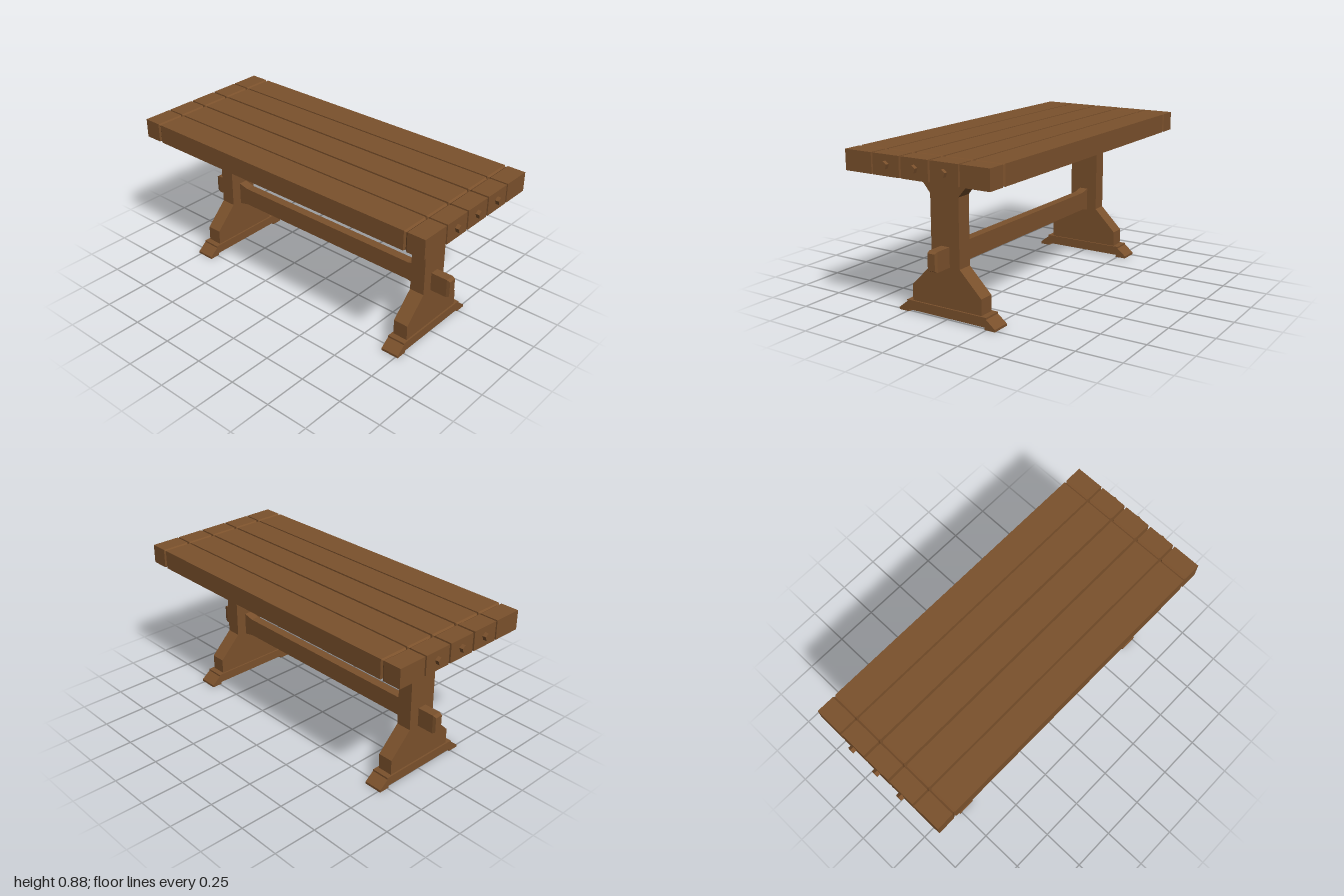
import * as THREE from 'three';

const wood = new THREE.MeshStandardMaterial({ color: 0x7b512c });
wood.name = 'brown wood';

function addMesh(parent, name, geometry) {
  const mesh = new THREE.Mesh(geometry, wood);
  mesh.name = name;
  parent.add(mesh);
  return mesh;
}

// Solid with rectangular cross-sections along z: each section is [z, halfWidth, yBottom, yTop]
function loft(sections) {
  const pos = [];
  const ring = ([z, w, y0, y1]) => [[-w, y0, z], [w, y0, z], [w, y1, z], [-w, y1, z]];
  const quad = (a, b, c, d) => pos.push(...a, ...b, ...c, ...a, ...c, ...d);
  const rings = sections.map(ring);
  for (let i = 0; i < rings.length - 1; i++) {
    const a = rings[i], b = rings[i + 1];
    for (let k = 0; k < 4; k++) {
      const n = (k + 1) % 4;
      quad(a[k], a[n], b[n], b[k]);
    }
  }
  const s = rings[0], e = rings[rings.length - 1];
  quad(s[3], s[2], s[1], s[0]);
  quad(e[0], e[1], e[2], e[3]);
  const g = new THREE.BufferGeometry();
  g.setAttribute('position', new THREE.Float32BufferAttribute(pos, 3));
  g.computeVertexNormals();
  return g;
}

// Mirrors sections given for z > 0 (from the middle outwards) to the other end
const bothEnds = (half) => [...half.map(([z, ...r]) => [-z, ...r]).reverse(), ...half];

// Extrudes the right half of an outline (bottom to top), mirrored in x, centred on z = 0
function symmetricSlab(half, depth) {
  const left = half.map(([x, y]) => [-x, y]).reverse();
  const shape = new THREE.Shape([...half, ...left].map(([x, y]) => new THREE.Vector2(x, y)));
  return new THREE.ExtrudeGeometry(shape, { depth, bevelEnabled: false }).translate(0, 0, -depth / 2);
}

function makeTrestle() {
  const trestle = new THREE.Group();
  addMesh(trestle, 'foot', symmetricSlab([
    [0.24, 0.013], [0.24, 0], [0.303, 0], [0.303, 0.013], [0.25, 0.055], [0.25, 0.065],
  ], 0.106));
  addMesh(trestle, 'post', symmetricSlab([
    [0.217, 0.065], [0.217, 0.152], [0.087, 0.283], [0.087, 0.655], [0.15, 0.729],
  ], 0.087));
  addMesh(trestle, 'topBeam', symmetricSlab([
    [0.295, 0.729], [0.368, 0.75], [0.368, 0.772],
  ], 0.106));
  return trestle;
}

export function createModel() {
  const table = new THREE.Group();
  table.name = 'trestleTable';

  // Five planks with a shallow groove around each end
  const top = new THREE.Group();
  top.name = 'tableTop';
  table.add(top);
  for (let i = -2; i <= 2; i++) {
    const w = Math.abs(i) === 2 ? 0.083 : 0.081;
    const y0 = 0.772, y1 = 0.88, d = 0.007;
    const plank = addMesh(top, 'plank', loft(bothEnds([
      [0.856, w, y0, y1],
      [0.866, w - d, y0 + d, y1 - d],
      [0.876, w, y0, y1],
      [0.979, w, y0, y1],
    ])));
    plank.position.x = i * 0.1745;
  }

  // Five-sided pegs in the ends of the three middle planks
  for (const side of [1, -1]) {
    for (const x of [-0.174, 0, 0.174]) {
      const geometry = new THREE.CylinderGeometry(0.021, 0.021, 0.04, 5).toNonIndexed();
      geometry.rotateX(-Math.PI / 2);
      geometry.computeVertexNormals();
      const peg = addMesh(top, 'peg', geometry);
      peg.position.set(x, 0.828, side * 0.98);
    }
  }

  // Trestle legs
  for (const side of [1, -1]) {
    const trestle = makeTrestle();
    trestle.name = side > 0 ? 'frontTrestle' : 'backTrestle';
    trestle.position.z = side * 0.711;
    table.add(trestle);
  }

  // Stretcher: flared where it meets the posts, with chamfered tenons outside
  addMesh(table, 'stretcher', loft(bothEnds([
    [0.605, 0.026, 0.284, 0.391],
    [0.668, 0.026, 0.27, 0.406],
    [0.69, 0.026, 0.27, 0.406],
    [0.69, 0.026, 0.284, 0.391],
    [0.852, 0.026, 0.284, 0.391],
    [0.87, 0.022, 0.293, 0.382],
  ])));

  return table;
}
